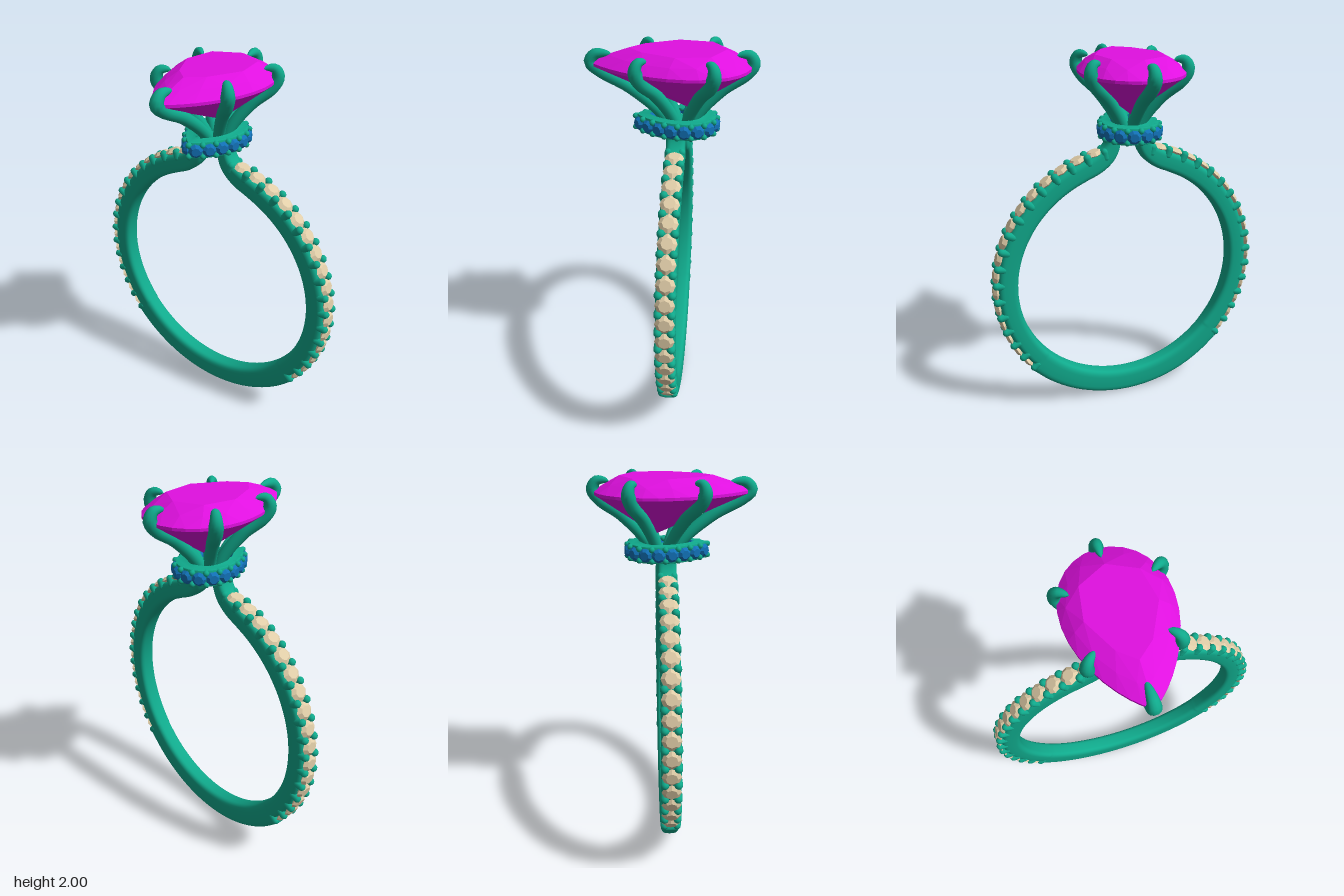
import * as THREE from 'three';
import { toCreasedNormals } from 'three/addons/utils/BufferGeometryUtils.js';
import { ConvexGeometry } from 'three/addons/geometries/ConvexGeometry.js';

const V = (x, y, z) => new THREE.Vector3(x, y, z);
const UP = V(0, 1, 0);
const CY = 0.77, BAND_Z = -0.03; // band centre
const rad = THREE.MathUtils.degToRad;

const metal = new THREE.MeshStandardMaterial({ color: 0x10aa8c });
const faceted = (color) => new THREE.MeshStandardMaterial({ color, flatShading: true });
const magenta = faceted(0xe010e0), tan = faceted(0xe0cda8), blue = faceted(0x1272b8);

function add(parent, name, geometry, material) {
  const m = new THREE.Mesh(geometry, material);
  m.name = name;
  parent.add(m);
  return m;
}

// Place a mesh with its y axis along a direction
function place(mesh, pos, dir) {
  mesh.position.copy(pos);
  mesh.quaternion.setFromUnitVectors(UP, dir);
}

// Pear outline: round at the back (-z), pointed at the front (+z)
function pear(a, halfWidth, halfLength) {
  const s = Math.sin(a) * Math.pow(Math.abs(Math.sin(a / 2)), 0.6);
  return [halfWidth / 0.84 * s, halfLength * Math.cos(a)];
}

// Small eight-sided cut stone, pointing along +y
const smallStone = (r) => new THREE.LatheGeometry(
  [[0, -0.035], [r, 0], [r * 0.6, 0.016], [0, 0.016]].map(([x, y]) => new THREE.Vector2(x, y)), 8);

// Band: inner and outer curves swept with a soft rectangular section
function bandGeometry() {
  const half = [];
  for (const d of [-90, -82, -74, -66, -58, -50, -43, -41, -39.5, -37, -30, -20, -10, 0, 10, 20, 30, 40, 50, 60]) {
    const a = rad(d), ro = d < -40 ? 0.77 : 0.738;
    half.push([0.63 * Math.cos(a), CY + 0.63 * Math.sin(a), ro * Math.cos(a), CY + ro * Math.sin(a)]);
  }
  half.push([0.23, 1.358, 0.275, 1.455], [0.15, 1.395, 0.19, 1.492], [0.085, 1.45, 0.14, 1.525],
    [0.05, 1.52, 0.115, 1.565], [0.045, 1.61, 0.11, 1.61]);
  const all = [...half.slice(1).reverse().map(([a, b, c, d]) => [-a, b, -c, d]), ...half];
  const inner = new THREE.CatmullRomCurve3(all.map((p) => V(p[0], p[1], 0)));
  const outer = new THREE.CatmullRomCurve3(all.map((p) => V(p[2], p[3], 0)));
  const N = 240, M = 28, pos = [], idx = [];
  const soft = (c) => Math.sign(c) * Math.pow(Math.abs(c), 0.55);
  for (let i = 0; i <= N; i++) {
    const pi = inner.getPoint(i / N), po = outer.getPoint(i / N);
    const mid = pi.clone().add(po).multiplyScalar(0.5), h = po.sub(pi).multiplyScalar(0.5);
    const k = i === 0 || i === N ? 0 : 1;
    for (let j = 0; j < M; j++) {
      const t = j / M * Math.PI * 2, c = soft(Math.cos(t)) * k, s = soft(Math.sin(t)) * k;
      pos.push(mid.x + h.x * c, mid.y + h.y * c, BAND_Z + 0.05 * s);
      if (i < N) {
        const a = i * M + j, b = i * M + (j + 1) % M;
        idx.push(a, a + M, b, b, a + M, b + M);
      }
    }
  }
  const g = new THREE.BufferGeometry();
  g.setAttribute('position', new THREE.Float32BufferAttribute(pos, 3));
  g.setIndex(idx);
  g.computeVertexNormals();
  return g;
}

// Stones and corner beads along both sides of the band
function addBandStones(parent) {
  const stone = smallStone(0.05), bead = new THREE.CapsuleGeometry(0.021, 0.03, 4, 10);
  const count = 16, step = 7.5, start = -36.6;
  for (const side of [-1, 1]) {
    for (let i = 0; i <= count; i++) {
      const at = (deg) => V(side * Math.cos(rad(deg)), Math.sin(rad(deg)), 0);
      const spot = (d, r, z) => V(d.x * r, CY + d.y * r, BAND_Z + z);
      if (i < count) {
        const d = at(start + i * step);
        place(add(parent, 'bandStone', stone, tan), spot(d, 0.748, 0), d);
      }
      const d = at(start + (i - 0.5) * step);
      for (const z of [-0.033, 0.033]) place(add(parent, 'bandBead', bead, metal), spot(d, 0.734, z), d);
    }
  }
}

// Pear-shaped collar with a row of stones around its side
function addCollar(parent) {
  const zc = -0.025;
  const ring = (w, l) => Array.from({ length: 96 }, (_, i) =>
    new THREE.Vector2(...pear((i + 0.5) / 96 * Math.PI * 2, w, l)));
  const shape = new THREE.Shape(ring(0.145, 0.205));
  shape.holes.push(new THREE.Path(ring(0.1, 0.145)));
  const body = new THREE.ExtrudeGeometry(shape, {
    depth: 0.076, bevelThickness: 0.006, bevelSize: 0.006, bevelOffset: -0.006, bevelSegments: 2,
  });
  body.rotateX(Math.PI / 2).translate(0, 1.656, zc);
  add(parent, 'collarRing', toCreasedNormals(body, 0.6), metal);

  const edge = new THREE.CatmullRomCurve3(ring(0.145, 0.205).map((p) => V(p.x, 0, p.y + zc)), true);
  const stone = smallStone(0.037), bead = new THREE.CapsuleGeometry(0.015, 0.02, 4, 10);
  const n = 16;
  for (let i = 0; i < n; i++) {
    const frame = (u) => {
      const p = edge.getPointAt(u), t = edge.getTangentAt(u);
      return [p, V(-t.z, 0, t.x).multiplyScalar(Math.sign(-t.z * p.x + t.x * (p.z - zc)) || 1)];
    };
    const [p, d] = frame((i + 0.5) / n);
    place(add(parent, 'collarStone', stone, blue), p.clone().addScaledVector(d, 0.005).setY(1.618), d);
    const [q, e] = frame((i + 0.001) / n);
    for (const y of [1.588, 1.648]) {
      place(add(parent, 'collarBead', bead, metal), q.clone().addScaledVector(e, -0.004).setY(y), e);
    }
  }
  // Hub joining prongs, collar and shank ends
  const hub = add(parent, 'hub', new THREE.CylinderGeometry(0.085, 0.07, 0.06, 32), metal);
  hub.position.set(0, 1.605, -0.04);
}

// Tapered prong rising from the hub and hooking over the stone's edge
function prongGeometry(x, z, lift) {
  const c = V(0, 0, -0.055);
  const path = new THREE.CatmullRomCurve3([
    [0.1, 1.56], [0.22, 1.66], [0.58, 1.8], [0.9, 1.882], [1, 1.925], [0.95, 1.962], [0.87, 1.968], [0.76, 1.962],
  ].map(([f, y]) => V(x * f, y + (y > 1.9 ? lift : 0), c.z + (z - c.z) * f)));
  const seg = 48, sides = 14;
  const g = new THREE.TubeGeometry(path, seg, 0.036, sides);
  const p = g.attributes.position, v = V(0, 0, 0);
  for (let i = 0; i <= seg; i++) {
    const u = i / seg, o = path.getPointAt(u);
    const k = u < 0.8 ? 0.8 + 0.25 * u : Math.sqrt(Math.max(0, 1 - (u - 0.8) / 0.2));
    for (let j = 0; j <= sides; j++) {
      const n = i * (sides + 1) + j;
      v.fromBufferAttribute(p, n).sub(o).multiplyScalar(k).add(o);
      p.setXYZ(n, v.x, v.y, v.z);
    }
  }
  return g;
}

// Centre stone: flat table, thin girdle, off-centre lower point
function centreStoneGeometry() {
  const pts = [V(0, 1.7, -0.09)];
  const ring = (n, w, l, y, z) => {
    for (let i = 0; i < n; i++) {
      const [px, pz] = pear(i / n * Math.PI * 2, w, l);
      pts.push(V(px, y, pz + z));
    }
  };
  ring(32, 0.263, 0.403, 1.925, 0.003);
  ring(32, 0.263, 0.403, 1.91, 0.003);
  ring(16, 0.225, 0.325, 1.965, -0.01);
  ring(8, 0.175, 0.24, 2, -0.03);
  return new ConvexGeometry(pts);
}

export function createModel() {
  const ringModel = new THREE.Group();
  ringModel.name = 'ring';
  const group = (name) => {
    const g = new THREE.Group();
    g.name = name;
    ringModel.add(g);
    return g;
  };
  add(ringModel, 'band', bandGeometry(), metal);
  addBandStones(group('bandSetting'));
  addCollar(group('collar'));
  const prongs = group('prongs');
  for (const [x, z, lift] of [[0, 0.405, 0], [0, -0.405, 0.01], [0.25, -0.22, 0.015],
    [-0.25, -0.22, 0.015], [0.215, 0.155, 0.015], [-0.215, 0.155, 0.015]]) {
    add(prongs, 'prong', prongGeometry(x, z, lift), metal);
  }
  add(ringModel, 'centreStone', centreStoneGeometry(), magenta);
  return ringModel;
}
